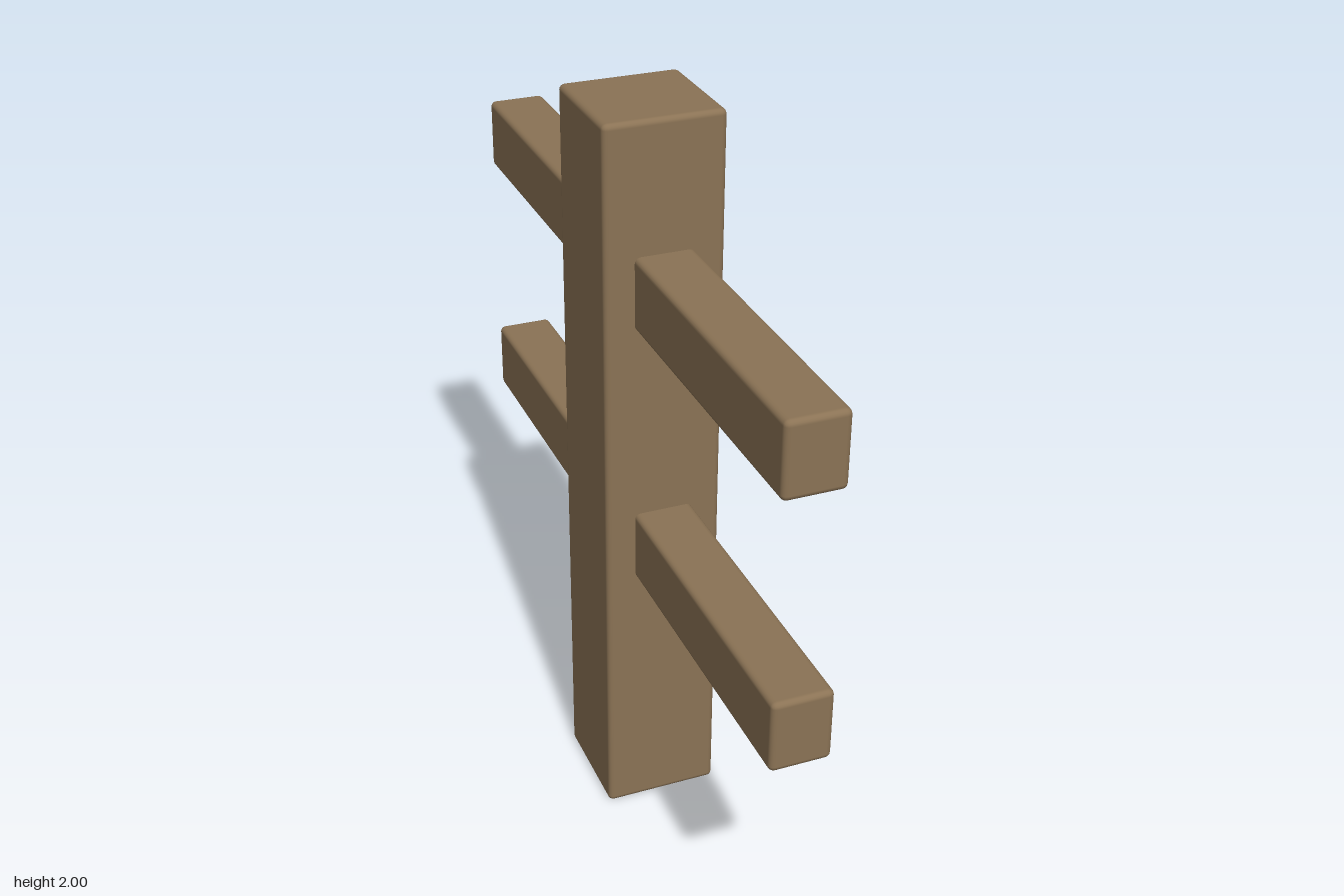
import * as THREE from 'three';
import { RoundedBoxGeometry } from 'three/addons/geometries/RoundedBoxGeometry.js';

export function createModel() {
  const model = new THREE.Group();
  model.name = 'crossbarPost';

  const wood = new THREE.MeshStandardMaterial({ color: 0x8b7355 });
  wood.name = 'brown wood';

  // Timber with softly eased edges, centred on the vertical axis
  function addBeam(name, width, height, depth, centreY) {
    const geometry = new RoundedBoxGeometry(width, height, depth, 2, 0.015);
    const beam = new THREE.Mesh(geometry, wood);
    beam.name = name;
    beam.position.y = centreY;
    model.add(beam);
  }

  // Upright post
  addBeam('post', 0.312, 2, 0.312, 1);

  // Crossbars running front to back through the post
  addBeam('lowerCrossbar', 0.156, 0.194, 2, 0.843);
  addBeam('upperCrossbar', 0.156, 0.194, 2, 1.563);

  return model;
}
